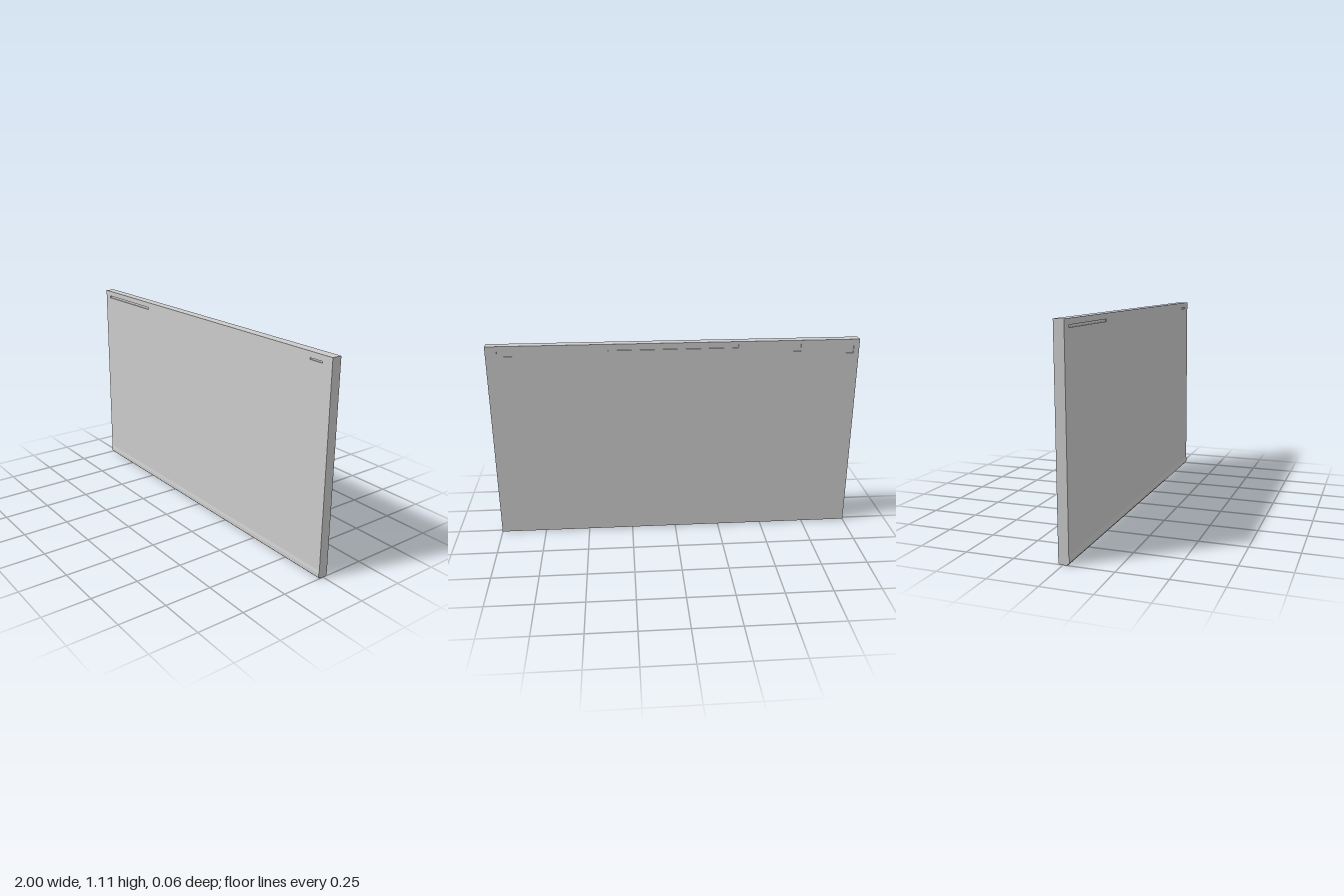
import * as THREE from 'three';

const W = 2, H = 1.107, CORE = 0.04, SKIN = 0.006;
const material = new THREE.MeshStandardMaterial({ color: 0xcccccc, flatShading: true });

// Leans the whole panel back a little towards the top
function lean(geometry) {
  const p = geometry.attributes.position;
  for (let i = 0; i < p.count; i++) p.setZ(i, p.getZ(i) + 0.003 - 0.0045 * p.getY(i));
  geometry.computeVertexNormals();
  return geometry;
}

function polygon(points, Type = THREE.Shape) {
  return new Type(points.map(([x, y]) => new THREE.Vector2(x, y)));
}

// Thin facing sheet with shallow recesses, each [x0, x1, y0, y1]
function facing(name, z, recesses) {
  const x = W / 2;
  const sheet = polygon([[-x, 0.006], [x, 0.006], [x, H], [-x, H]]);
  for (const [x0, x1, y0, y1] of recesses) {
    sheet.holes.push(polygon([[x0, y0], [x0, y1], [x1, y1], [x1, y0]], THREE.Path));
  }
  const geometry = new THREE.ExtrudeGeometry(sheet, { depth: SKIN, bevelEnabled: false });
  geometry.translate(0, 0, z);
  const mesh = new THREE.Mesh(lean(geometry), material);
  mesh.name = name;
  return mesh;
}

export function createModel() {
  const panel = new THREE.Group();
  panel.name = 'flatPanel';

  // Solid core
  const coreGeometry = new THREE.BoxGeometry(W, H, CORE).translate(0, H / 2, 0);
  const core = new THREE.Mesh(lean(coreGeometry), material);
  core.name = 'core';
  panel.add(core);

  // Front with a narrow slot at the upper right and a short one at the upper left
  panel.add(facing('frontFacing', CORE / 2, [
    [-0.95, -0.5, 1.066, 1.078],
    [0.86, 0.94, 1.068, 1.076],
  ]));

  // Back with a long narrow recess and small notches along the top
  panel.add(facing('backFacing', -CORE / 2 - SKIN, [
    [-0.34, 0.36, 1.072, 1.09],
    [-0.68, -0.6, 1.045, 1.085],
    [-0.97, -0.92, 1.03, 1.08],
    [0.86, 0.94, 1.05, 1.08],
  ]));

  // Low rounded swelling along the bottom of the front
  const swell = polygon([[-0.02, 0.008], [-0.029, 0.012], [-0.029, 0.028], [-0.025, 0.05], [-0.02, 0.05]]);
  const swellGeometry = new THREE.ExtrudeGeometry(swell, { depth: W, bevelEnabled: false });
  swellGeometry.rotateY(Math.PI / 2).translate(-W / 2, 0, 0);
  const edge = new THREE.Mesh(lean(swellGeometry), material);
  edge.name = 'lowerFrontEdge';
  panel.add(edge);

  return panel;
}
